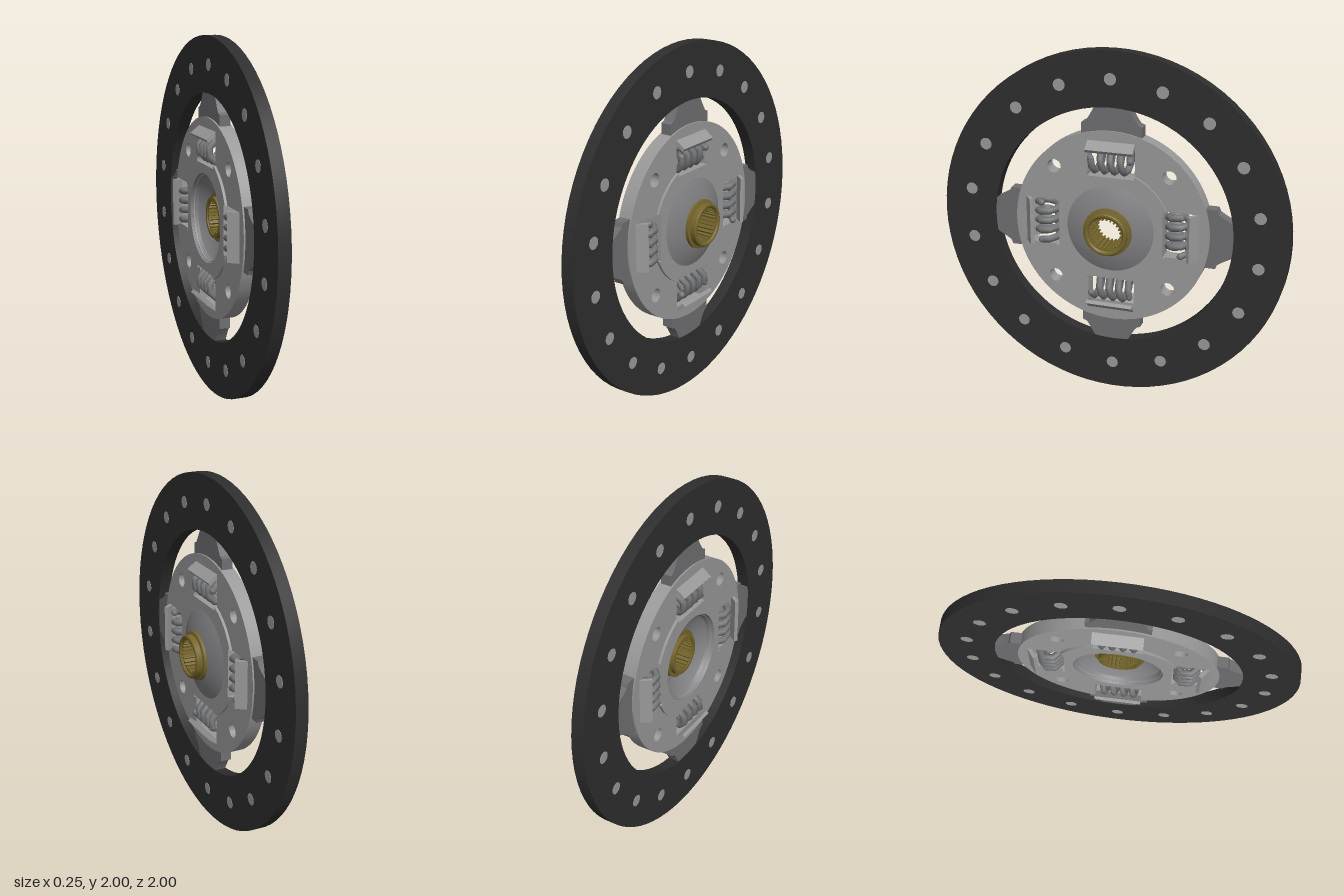
import * as THREE from 'three';
import { toCreasedNormals } from 'three/addons/utils/BufferGeometryUtils.js';

const material = (name, color) => {
  const m = new THREE.MeshStandardMaterial({ color });
  m.name = name;
  return m;
};

// Coil spring centre line, running along z
class Helix extends THREE.Curve {
  constructor(radius, length, turns) {
    super();
    Object.assign(this, { radius, length, turns });
  }
  getPoint(t, target = new THREE.Vector3()) {
    const a = t * this.turns * Math.PI * 2 + Math.PI / 8;
    return target.set(Math.cos(a) * this.radius, Math.sin(a) * this.radius, (t - 0.5) * this.length);
  }
}

const circle = (Kind, r, x = 0, y = 0) => {
  const p = new Kind();
  p.absarc(x, y, r, 0, Math.PI * 2, false);
  return p;
};

const polygon = (Kind, points) => new Kind(points.map(([x, y]) => new THREE.Vector2(x, y)));

// Extrude a face-on shape along the x axis from x0 to x1
const plate = (shape, x0, x1, curveSegments = 64) => {
  const g = new THREE.ExtrudeGeometry(shape, { depth: x1 - x0, bevelEnabled: false, curveSegments });
  g.rotateY(Math.PI / 2);
  g.translate(x0, 0, 0);
  return toCreasedNormals(g, 0.5);
};

// Revolve a closed profile of [radius, x] points around the x axis
const turned = (profile, segments = 48) => {
  const pts = [...profile, profile[0]].map(([r, x]) => new THREE.Vector2(r, x));
  const g = new THREE.LatheGeometry(pts, segments);
  g.rotateZ(-Math.PI / 2);
  return toCreasedNormals(g, 0.4);
};

const spin = ([x, y], a) => [x * Math.cos(a) - y * Math.sin(a), x * Math.sin(a) + y * Math.cos(a)];

export function createModel() {
  const model = new THREE.Group();
  model.name = 'clutchDisc';
  const disc = new THREE.Group();
  disc.name = 'disc';
  disc.position.y = 1;
  model.add(disc);

  const lining = material('black lining', 0x2e2e2e);
  const steel = material('light steel', 0x999999);
  const dark = material('dark steel', 0x6f6f72);
  const dish = material('dish steel', 0x828285);
  const spring = material('spring steel', 0x747577);
  const brass = material('brass', 0x75652b);

  const add = (parent, name, geometry, mat) => {
    const mesh = new THREE.Mesh(geometry, mat);
    mesh.name = name;
    parent.add(mesh);
    return mesh;
  };

  const MID = -0.035; // middle plane of the disc
  const HALF = 0.135; // half length of a spring window
  const quarters = [0, 1, 2, 3].map((k) => k * Math.PI / 2);

  // Friction ring
  const ring = circle(THREE.Shape, 1);
  ring.holes.push(circle(THREE.Path, 0.69));
  add(disc, 'frictionRing', plate(ring, -0.07, 0, 40), lining);

  // Rivets, flush on both ring faces
  const rivet = new THREE.CylinderGeometry(0.034, 0.034, 0.074, 16);
  rivet.rotateZ(Math.PI / 2);
  for (let i = 0; i < 18; i++) {
    const a = i * Math.PI / 9 + 0.008;
    add(disc, 'rivet', rivet, steel)
      .position.set(MID, 0.845 * Math.cos(a), 0.845 * Math.sin(a));
  }

  // Main plate with four spring windows and four round holes
  const main = circle(THREE.Shape, 0.56);
  main.holes.push(circle(THREE.Path, 0.24));
  for (const a of quarters) {
    const corners = [[-HALF, 0.3], [HALF, 0.3], [HALF, 0.5], [-HALF, 0.5]];
    main.holes.push(polygon(THREE.Path, corners.map((p) => spin(p, a))));
    main.holes.push(circle(THREE.Path, 0.039, ...spin([0.33, 0.33], a)));
  }
  add(disc, 'mainPlate', plate(main, -0.075, 0.005), steel);

  // Raised inner plates, notched around the springs
  const outline = [];
  const edge = Math.asin(HALF / 0.345);
  for (const a of quarters) {
    outline.push(spin([HALF, 0.3], a + Math.PI * 2), spin([-HALF, 0.3], a));
    for (let i = 0; i <= 12; i++) {
      outline.push(spin([0, 0.345], a + edge + (Math.PI / 2 - 2 * edge) * i / 12));
    }
  }
  const inner = polygon(THREE.Shape, outline);
  inner.holes.push(circle(THREE.Path, 0.25));
  add(disc, 'innerPlateOuterSide', plate(inner, 0.005, 0.02), steel);
  add(disc, 'innerPlateInnerSide', plate(inner, -0.09, -0.075), steel);

  // Dished centre: convex on +x, hollow on -x
  add(disc, 'dishedCentre', turned([
    [0.11, 0.01], [0.2, -0.025], [0.232, -0.05], [0.25, -0.09],
    [0.2505, 0.02], [0.13, 0.068], [0.11, 0.068],
  ], 64), dish);

  // Hub with stepped collar
  add(disc, 'hub', turned([
    [0.098, -0.045], [0.115, -0.045], [0.115, -0.02], [0.138, -0.02],
    [0.138, 0.082], [0.122, 0.086], [0.122, 0.115], [0.117, 0.12],
    [0.106, 0.12], [0.098, 0.112],
  ]), brass);

  // Splined bore
  const bore = circle(THREE.Shape, 0.1);
  const teeth = [];
  for (let i = 0; i < 24; i++) {
    [[0, 0.093], [0.45, 0.093], [0.55, 0.082], [0.9, 0.082]].forEach(([t, r]) => {
      teeth.push(spin([r, 0], (i + t) * Math.PI / 12));
    });
  }
  bore.holes.push(polygon(THREE.Path, teeth));
  add(disc, 'splinedBore', plate(bore, -0.038, 0.108, 48), brass);

  // Shared shapes of the four stations
  const tab = plate(polygon(THREE.Shape, [
    [-0.172, 0.51], [0.172, 0.51], [0.172, 0.593], [0.148, 0.603], [0.13, 0.63],
    [0.095, 0.692], [0.09, 0.72], [-0.09, 0.72], [-0.095, 0.692], [-0.13, 0.63],
    [-0.148, 0.603], [-0.172, 0.593],
  ]), -0.066, -0.004);
  const turns = 4;
  const helix = new Helix(0.06, 0.225, turns);
  const coil = new THREE.TubeGeometry(helix, turns * 8, 0.02, 8, false);
  const coilEnd = new THREE.SphereGeometry(0.02, 8, 6);
  const lip = new THREE.ExtrudeGeometry(polygon(THREE.Shape, [
    [-0.005, 0.482], [0.045, 0.442], [0.058, 0.459], [0.005, 0.5], [-0.005, 0.5],
  ]), { depth: HALF * 2, bevelEnabled: false });
  lip.translate(0, 0, -HALF);

  // Tab, spring and pair of bent lips, repeated every quarter turn
  for (const a of quarters) {
    const station = new THREE.Group();
    station.name = 'springStation';
    station.rotation.x = a;
    disc.add(station);
    add(station, 'ringTab', tab, dark);
    const coilGroup = new THREE.Group();
    coilGroup.name = 'damperSpring';
    coilGroup.position.set(MID, 0.38, 0);
    station.add(coilGroup);
    add(coilGroup, 'coil', coil, spring);
    for (const t of [0, 1]) add(coilGroup, 'coilEnd', coilEnd, spring).position.copy(helix.getPoint(t));
    add(station, 'springLipOuterSide', lip, steel);
    const back = add(station, 'springLipInnerSide', lip, steel);
    back.rotation.y = Math.PI;
    back.position.x = 2 * MID;
  }

  return model;
}
